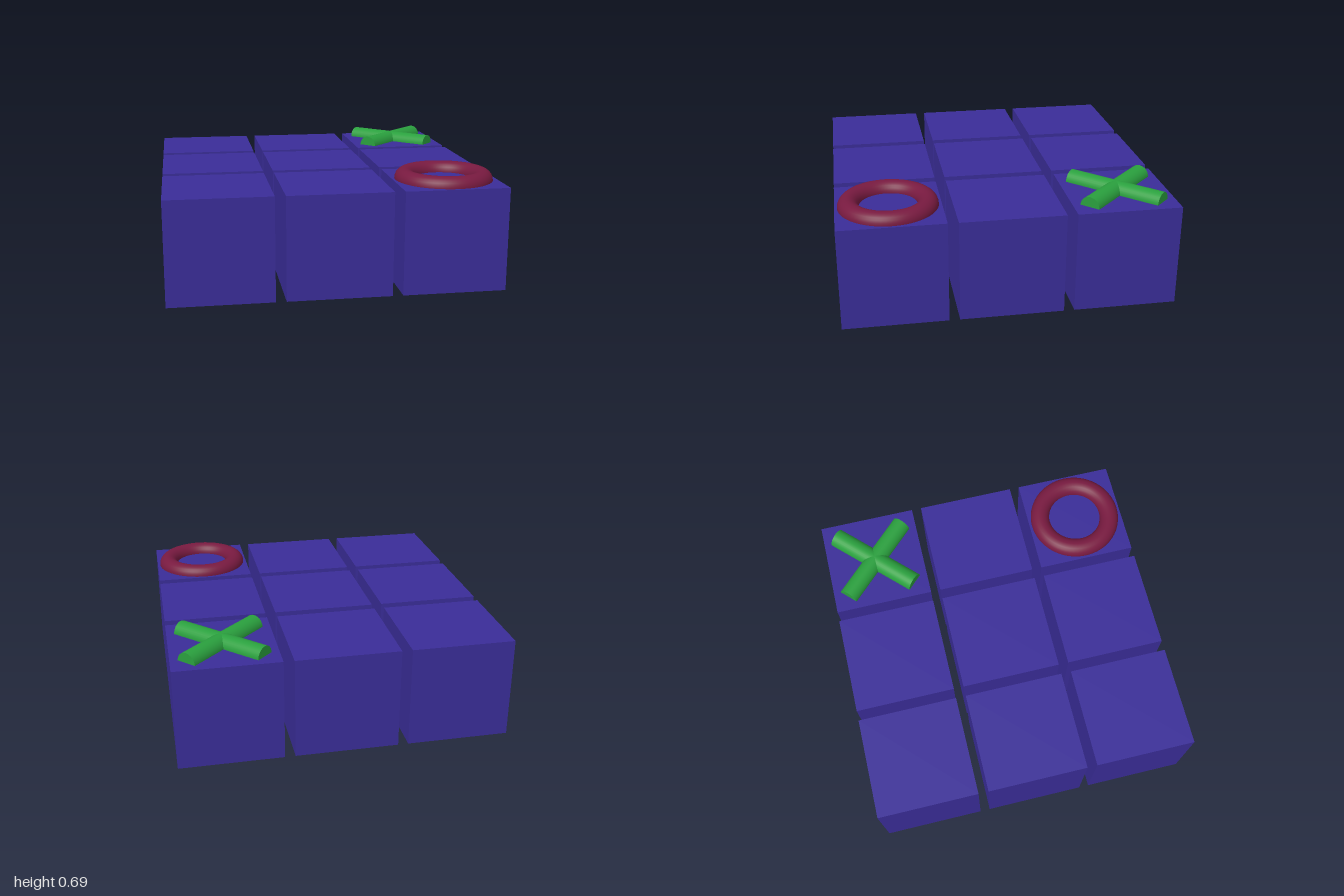
import * as THREE from 'three';

const SIZE = 0.625;   // cube edge
const PITCH = 0.6875; // distance between cube centres
const R = 0.0625;     // radius of the mark strokes

export function createModel() {
  const model = new THREE.Group();
  model.name = 'ticTacToeBoard';

  const blue = new THREE.MeshStandardMaterial({ color: 0x3a2d98 });
  const red = new THREE.MeshStandardMaterial({ color: 0x781a40 });
  const green = new THREE.MeshStandardMaterial({ color: 0x2aa03e });

  const add = (parent, name, geometry, material) => {
    const mesh = new THREE.Mesh(geometry, material);
    mesh.name = name;
    parent.add(mesh);
    return mesh;
  };

  // Three by three grid of separate cubes
  const board = new THREE.Group();
  board.name = 'board';
  model.add(board);
  const cube = new THREE.BoxGeometry(SIZE, SIZE, SIZE);
  for (let row = -1; row <= 1; row++) {
    for (let col = -1; col <= 1; col++) {
      add(board, `cube_${row + 2}_${col + 2}`, cube, blue)
        .position.set(col * PITCH, SIZE / 2, row * PITCH);
    }
  }

  // Ring mark, sunk halfway into the front left cube
  const ring = add(model, 'ringMark', new THREE.TorusGeometry(0.234, R, 24, 64), red);
  ring.rotation.x = Math.PI / 2;
  ring.position.set(PITCH, SIZE, PITCH);

  // Cross mark: two diagonal rods, sunk halfway into the back left cube
  const cross = new THREE.Group();
  cross.name = 'crossMark';
  cross.position.set(PITCH, SIZE, -PITCH);
  model.add(cross);
  const rod = new THREE.CylinderGeometry(R, R, SIZE, 32).rotateX(Math.PI / 2);
  for (const side of [-1, 1]) {
    add(cross, side < 0 ? 'crossRodA' : 'crossRodB', rod, green).rotation.y = side * Math.PI / 4;
  }

  return model;
}
